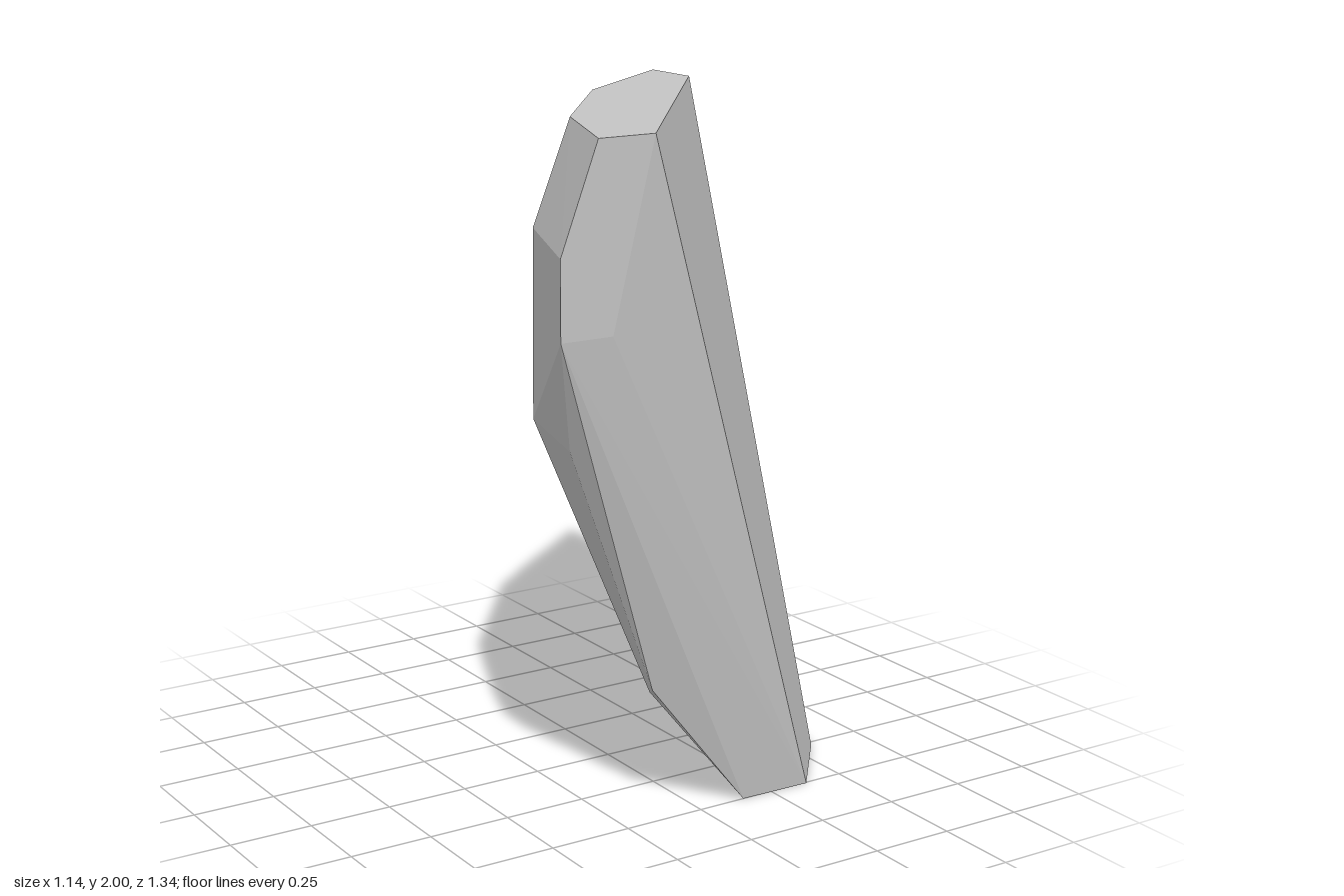
import * as THREE from 'three';
import { ConvexGeometry } from 'three/addons/geometries/ConvexGeometry.js';

// Corner points of the faceted shard, grouped by level: [height, [x, z] ...]
const levels = [
  // top rim
  [2.0, [-0.455, 0.67], [-0.30, 0.28], [0.06, -0.18], [0.49, -0.51], [0.49, -0.31], [-0.28, 0.67]],
  // outer shoulder
  [1.70, [-0.57, 0.67], [-0.395, 0.24], [0.49, -0.64]],
  [1.72, [-0.01, -0.26]],
  // ends of the two flat sides
  [1.48, [-0.57, 0.67], [-0.41, 0.67], [0.57, -0.67], [0.57, -0.51]],
  // outer belly
  [1.17, [-0.41, 0.26], [-0.01, -0.25]],
  [1.15, [-0.47, 0.55], [0.46, -0.59], [0.57, -0.655]],
  [0.65, [0.57, -0.44]],
  // lower bend
  [0.40, [-0.17, 0.50], [0.20, -0.05], [0.57, -0.31]],
  [0.37, [-0.14, 0.44]],
  // foot
  [0.0, [0.15, 0.50], [0.39, 0.18], [0.57, 0.05], [0.57, 0.27], [0.375, 0.505]],
];

export function createModel() {
  const group = new THREE.Group();
  group.name = 'stoneShard';

  const stone = new THREE.MeshStandardMaterial({ color: 0xc5c5c5 });
  stone.name = 'stone grey';

  // Flat-faceted solid wrapped around the levels
  const points = levels.flatMap(([y, ...ring]) => ring.map(([x, z]) => new THREE.Vector3(x, y, z)));
  const shard = new THREE.Mesh(new ConvexGeometry(points), stone);
  shard.name = 'shard';
  group.add(shard);
  return group;
}
